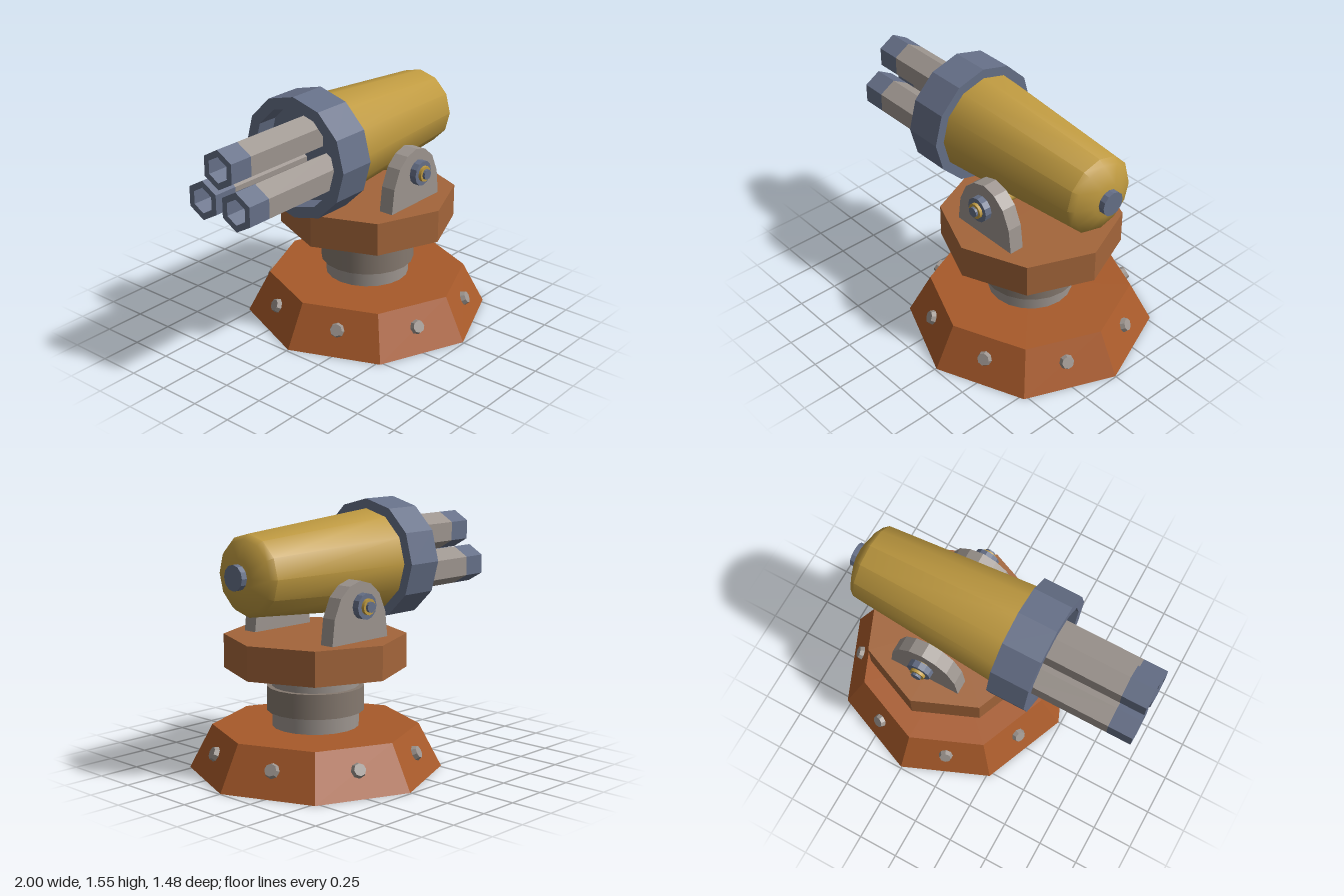
import * as THREE from 'three';
import { toCreasedNormals } from 'three/addons/utils/BufferGeometryUtils.js';

const paint = (color, flatShading = false) => {
  const m = new THREE.MeshStandardMaterial({ color });
  m.flatShading = flatShading;
  return m;
};
const RUST = paint(0xa85a2a, true);
const COPPER = paint(0xa3653a, true);
const STEEL = paint(0x9d958f, true);
const STEEL_SMOOTH = paint(0x9d958f);
const BAND = paint(0x85796f);
const GOLD = paint(0xbf9a40);
const BLUE = paint(0x667088, true);

const PIVOT_X = 0.255;  // vertical turning axis
const GUN_Y = 1.19, GUN_Z = -0.008;

export function createModel() {
  const model = new THREE.Group();
  model.name = 'turret';

  const add = (parent, name, geometry, material, x = 0, y = 0, z = 0) => {
    const mesh = new THREE.Mesh(geometry, material);
    mesh.name = name;
    mesh.position.set(x, y, z);
    parent.add(mesh);
    return mesh;
  };
  // upright drum between two heights
  const drum = (parent, name, rBottom, rTop, y0, y1, sides, material) =>
    add(parent, name, new THREE.CylinderGeometry(rTop, rBottom, y1 - y0, sides), material, 0, (y0 + y1) / 2, 0);
  // lathe turned about the x axis, profile given as [radius, x]
  const turned = (profile, sides) => {
    const g = new THREE.LatheGeometry(profile.map(([r, x]) => new THREE.Vector2(r, x)), sides);
    g.rotateZ(-Math.PI / 2);
    return toCreasedNormals(g, 0.6);
  };

  // Pedestal
  const stand = new THREE.Group();
  stand.name = 'stand';
  stand.position.x = PIVOT_X;
  model.add(stand);
  drum(stand, 'base', 0.74, 0.605, 0, 0.26, 8, RUST);
  drum(stand, 'neck', 0.255, 0.255, 0.25, 0.61, 20, STEEL_SMOOTH);
  drum(stand, 'neckBand', 0.285, 0.285, 0.355, 0.5, 20, BAND);
  drum(stand, 'platform', 0.53, 0.53, 0.6, 0.8, 8, COPPER);

  // One bolt in the middle of each sloping base face
  const boltGeometry = new THREE.CylinderGeometry(0.036, 0.052, 0.05, 8);
  for (let i = 0; i < 8; i++) {
    const arm = new THREE.Group();
    arm.name = 'baseBolt';
    arm.rotation.y = (i + 0.5) * Math.PI / 4;
    stand.add(arm);
    add(arm, 'boltHead', boltGeometry, STEEL, 0.617, 0.145, 0).rotation.z = 0.45 - Math.PI / 2;
  }

  // Arched brackets either side of the gun
  const half = [[0.225, 0.79], [0.205, 0.95], [0.155, 1.06], [0.085, 1.12]];
  const outline = [...half, [0, 1.145], ...half.map(([x, y]) => [-x, y]).reverse()];
  const bracketGeometry = new THREE.ExtrudeGeometry(
    new THREE.Shape(outline.map(([x, y]) => new THREE.Vector2(x, y))),
    { depth: 0.09, bevelEnabled: false });
  // Pivot axle with washers and end pins
  const rod = (name, r, z0, z1, material) =>
    add(stand, name, new THREE.CylinderGeometry(r, r, z1 - z0, 12).rotateX(Math.PI / 2),
      material, 0, 1.005, (z0 + z1) / 2);
  rod('axle', 0.047, -0.43, 0.43, GOLD);
  for (const s of [1, -1]) {
    add(stand, 'bracket', bracketGeometry, STEEL, 0, 0, s > 0 ? 0.27 : -0.36);
    const at = (a, b) => (s > 0 ? [a, b] : [-b, -a]);
    rod('axleWasher', 0.075, ...at(0.37, 0.412), BLUE);
    rod('axlePin', 0.031, ...at(0.42, 0.445), BLUE);
  }

  // Gun
  const gun = new THREE.Group();
  gun.name = 'gun';
  gun.position.set(0, GUN_Y, GUN_Z);
  model.add(gun);
  add(gun, 'gunBody', turned(
    [[0, -0.2], [0.307, -0.2], [0.305, -0.165], [0.232, 0.77], [0.205, 0.803], [0.1, 0.848], [0, 0.85]], 12), GOLD);
  add(gun, 'rearKnob', turned([[0, 0.83], [0.073, 0.83], [0.073, 0.885], [0, 0.885]], 12), BLUE);
  // hollow collar with a recessed floor
  add(gun, 'collar', turned(
    [[0, -0.27], [0.295, -0.27], [0.295, -0.4], [0.363, -0.4], [0.363, -0.165], [0.29, -0.165]], 12), BLUE);

  // Three hexagonal barrels with hollow muzzles
  const barrelGeometry = turned([[0.115, -0.85], [0.115, -0.25]], 6);
  const muzzleGeometry = turned(
    [[0, -0.87], [0.075, -0.87], [0.075, -1], [0.115, -1], [0.115, -0.85]], 6);
  for (const [y, z] of [[0.12, 0.006], [-0.088, 0.13], [-0.088, -0.117]]) {
    const barrel = new THREE.Group();
    barrel.name = 'barrel';
    barrel.position.set(0, y, z);
    // a corner of each hexagon points up
    barrel.rotation.x = Math.PI / 2;
    gun.add(barrel);
    add(barrel, 'barrelTube', barrelGeometry, STEEL);
    add(barrel, 'muzzle', muzzleGeometry, BLUE);
  }
  return model;
}
